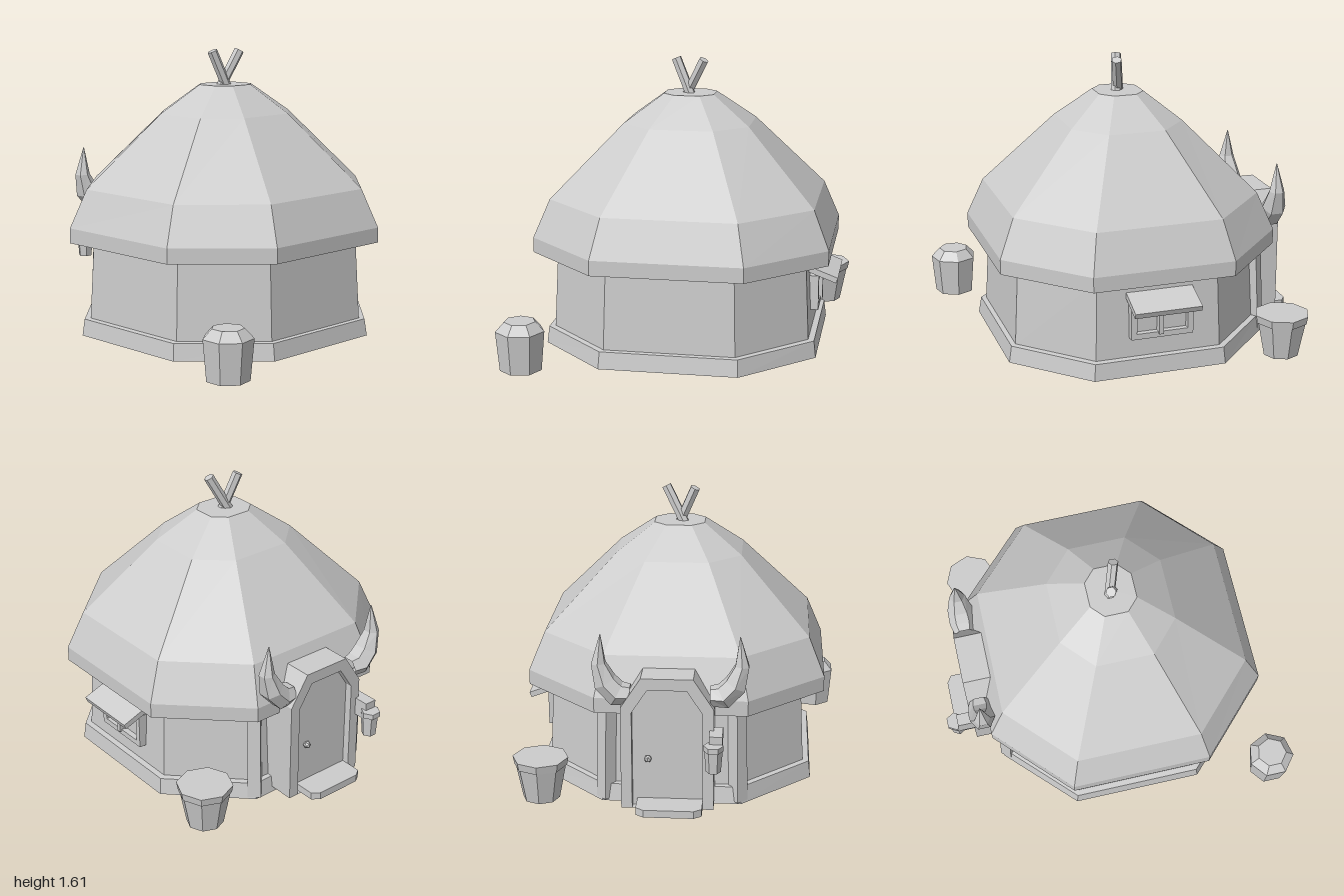
import * as THREE from 'three';

// Double sided: the base, barrel and tub are open underneath
const stone = new THREE.MeshStandardMaterial({ color: 0xcccccc, flatShading: true, side: THREE.DoubleSide });
stone.name = 'plain grey';

// Centre of the hut
const CX = 0.017, CZ = 0.047;

// Skin a list of equal-length rings (counter-clockwise around the rising direction)
function loft(rings) {
  const pos = [], n = rings[0].length;
  for (let r = 0; r + 1 < rings.length; r++) {
    const lo = rings[r], hi = rings[r + 1];
    for (let i = 0; i < n; i++) {
      const j = (i + 1) % n;
      for (const p of [lo[i], lo[j], hi[j], lo[i], hi[j], hi[i]]) pos.push(p.x, p.y, p.z);
    }
  }
  const g = new THREE.BufferGeometry();
  g.setAttribute('position', new THREE.Float32BufferAttribute(pos, 3));
  g.computeVertexNormals();
  return g;
}

// Eight-sided ring with half sizes hx, hz
function octagon([y, hx, hz]) {
  const a = [[1, 0.5], [1, -0.5], [0.5, -1], [-0.5, -1], [-1, -0.5], [-1, 0.5], [-0.5, 1], [0.5, 1]];
  return a.map(([x, z]) => new THREE.Vector3(CX + x * hx, y, CZ + z * hz));
}

export function createModel() {
  const model = new THREE.Group();
  model.name = 'hut';

  const add = (name, geometry, x = 0, y = 0, z = 0, parent = model) => {
    const m = new THREE.Mesh(geometry, stone);
    m.name = name;
    m.position.set(x, y, z);
    parent.add(m);
    return m;
  };
  const box = (name, x0, x1, y0, y1, z0, z1, parent) =>
    add(name, new THREE.BoxGeometry(x1 - x0, y1 - y0, z1 - z0),
      (x0 + x1) / 2, (y0 + y1) / 2, (z0 + z1) / 2, parent);
  // Straight rod between two points
  const rod = (name, a, b, r, sides) => {
    const p = new THREE.Vector3(...a), q = new THREE.Vector3(...b);
    const d = q.clone().sub(p);
    const m = add(name, new THREE.CylinderGeometry(r, r, d.length(), sides));
    m.position.copy(p).add(q).multiplyScalar(0.5);
    m.quaternion.setFromUnitVectors(new THREE.Vector3(0, 1, 0), d.normalize());
  };

  // Hut body: base open below with a floor at its top, wall, roof with eave
  const tiers = {
    base: [[0, 0.768, 0.757], [0.095, 0.757, 0.742], [0.1, 0.70, 0.69], [0.1, 0, 0]],
    wall: [[0.09, 0.724, 0.715], [0.55, 0.702, 0.69]],
    roof: [[0.54, 0.68, 0.67], [0.54, 0.83, 0.8], [0.625, 0.83, 0.8], [0.84, 0.742, 0.712],
      [1.25, 0.355, 0.325], [1.41, 0.142, 0.13], [1.41, 0, 0]],
  };
  for (const name in tiers) add(name, loft(tiers[name].map(octagon)));

  // Crossed poles on the roof
  rod('roofPole', [0.03, 1.37, 0.06], [-0.068, 1.6, 0.028], 0.029, 6);
  rod('roofPole', [-0.02, 1.37, 0.03], [0.098, 1.6, 0.078], 0.029, 6);

  // Corner posts beside the doorway
  for (const s of [-1, 1]) {
    rod('cornerPost', [CX + s * 0.365, 0.01, -0.675], [CX + s * 0.355, 0.57, -0.65], 0.052, 4);
  }

  // Doorway with chamfered arch, at the back
  const DX = 0.03;
  const arch = (w, topW, shoulder, top) => [[-w, 0.03], [w, 0.03], [w, shoulder], [topW, top], [-topW, top], [-w, shoulder]]
    .map(([x, y]) => new THREE.Vector2(x, y));
  const inner = arch(0.19, 0.105, 0.585, 0.715);
  const frame = new THREE.Shape(arch(0.25, 0.14, 0.61, 0.78));
  frame.holes.push(new THREE.Path(inner));
  const extrude = (shape, depth) => new THREE.ExtrudeGeometry(shape, { depth, bevelEnabled: false });
  add('doorFrame', extrude(frame, 0.22), DX, 0, -0.852);
  add('door', extrude(new THREE.Shape(inner), 0.1), DX, 0, -0.81);
  add('doorKnob', new THREE.IcosahedronGeometry(0.022, 0), 0.135, 0.31, -0.825);

  // Doorstep slab with cut corners
  const step = new THREE.Shape([[-0.178, 0.7], [0.178, 0.7], [0.178, 0.935], [0.135, 0.965], [-0.135, 0.965], [-0.178, 0.935]]
    .map(([x, y]) => new THREE.Vector2(x, y)));
  add('doorStep', extrude(step, 0.042), 0.017, 0.03, 0).rotation.x = -Math.PI / 2;

  // Horns curling up from the arch
  for (const s of [-1, 1]) {
    const path = [[0.215, 0.665, 0.055], [0.285, 0.668, 0.07], [0.348, 0.735, 0.066], [0.382, 0.84, 0.042], [0.37, 1.0, 0.002]];
    const pts = path.map(([x, y]) => new THREE.Vector3(CX + s * x, y, -0.783));
    const v = new THREE.Vector3(0, 0, 1);
    const rings = pts.map((p, i) => {
      const t = pts[Math.min(i + 1, 4)].clone().sub(pts[Math.max(i - 1, 0)]).normalize();
      const u = v.clone().cross(t);
      return Array.from({ length: 6 }, (_, k) => {
        const a = k * Math.PI / 3 + Math.PI / 6;
        return p.clone().addScaledVector(u, path[i][2] * Math.cos(a)).addScaledVector(v, path[i][2] * 1.1 * Math.sin(a));
      });
    });
    add('horn', loft(rings));
  }

  // Torch cup on a bracket by the door
  box('torchBracket', -0.268, -0.198, 0.39, 0.495, -0.937, -0.8);
  add('torchCup', new THREE.CylinderGeometry(0.05, 0.04, 0.13, 6), -0.222, 0.365, -0.942).rotation.y = Math.PI / 6;
  add('torchRim', new THREE.CylinderGeometry(0.054, 0.054, 0.03, 6), -0.222, 0.437, -0.95).rotation.y = Math.PI / 6;

  // Window with awning on the +x side
  const win = new THREE.Group();
  win.name = 'window';
  model.add(win);
  const bars = (name, x0, x1, z0, z1, y0, y1, t) => {
    box(name, x0, x1, y0, y1, z0, z0 + t, win);
    box(name, x0, x1, y0, y1, z1 - t, z1, win);
    box(name, x0, x1, y0, y0 + t, z0 + t, z1 - t, win);
    box(name, x0, x1, y1 - t, y1, z0 + t, z1 - t, win);
  };
  bars('windowFrame', 0.69, 0.778, -0.14, 0.215, 0.21, 0.41, 0.032);
  box('windowPane', 0.69, 0.745, 0.23, 0.4, -0.12, 0.2, win);
  box('windowMullion', 0.69, 0.79, 0.23, 0.395, 0.035, 0.06, win);
  const awning = add('awning', new THREE.BoxGeometry(0.18, 0.032, 0.38), 0.797, 0.423, 0.038, win);
  awning.rotation.z = -0.36;

  // Barrel at the front: seven sides, bevelled lid
  const barrel = new THREE.LatheGeometry([[0.116, 0], [0.136, 0.222], [0.087, 0.274], [0, 0.274]]
    .map(([x, y]) => new THREE.Vector2(x, y)), 7);
  add('barrel', barrel, -0.781, 0, 0.865).rotation.y = Math.PI / 2;

  // Tapered tub at the back, open below, with a lid
  add('tub', new THREE.CylinderGeometry(0.145, 0.102, 0.22, 8, 1, true), 0.743, 0.11, -0.683);
  add('tubLid', new THREE.CylinderGeometry(0.155, 0.147, 0.045, 8), 0.743, 0.22, -0.683);

  return model;
}
